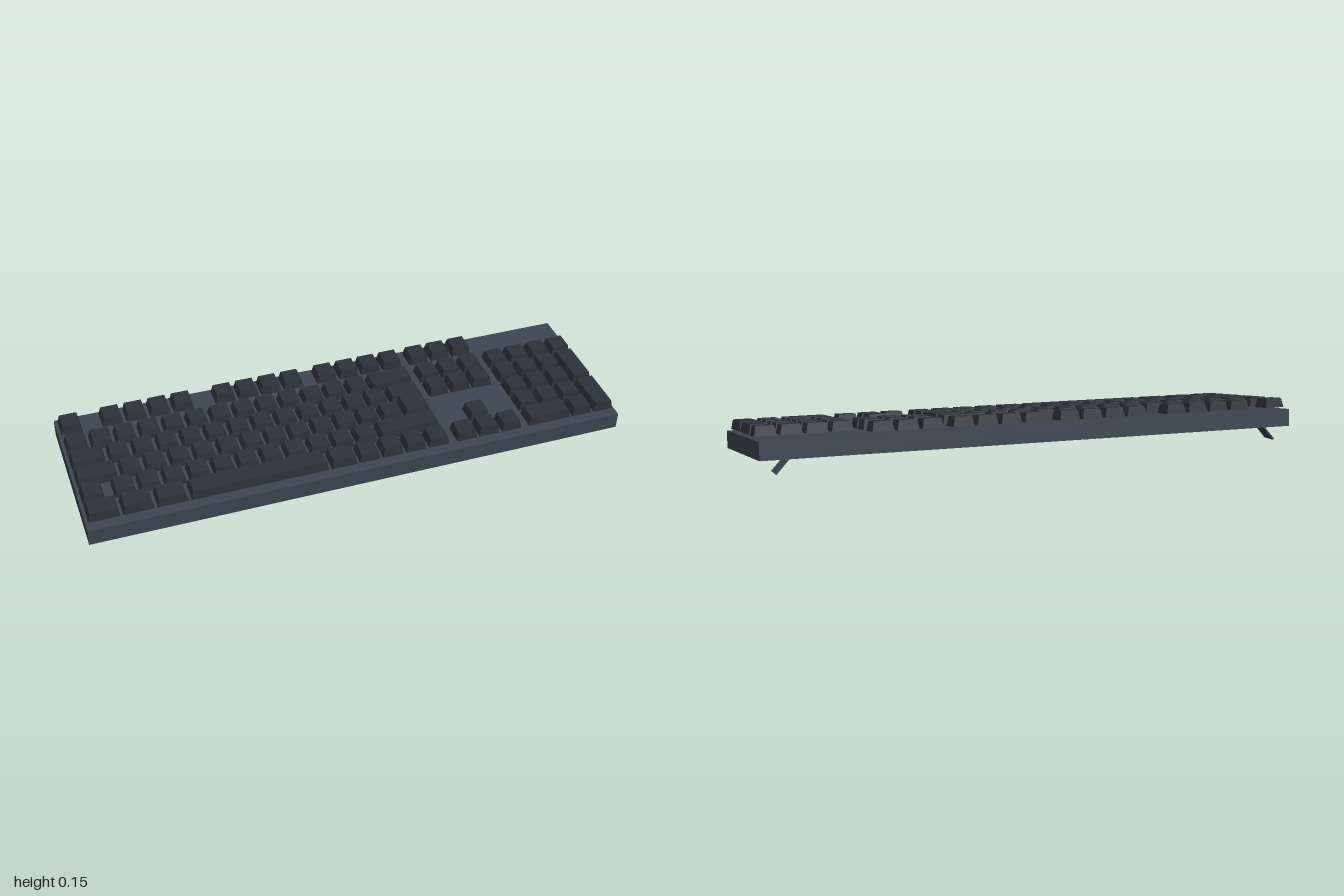
import * as THREE from 'three';

const U = 0.0864;             // one key unit
const X0 = -0.972;            // left end of the key field
const PLATE = 0.062;          // thickness of the case
const GAP = 0.0055;           // half the slit between two keys
const CAP_Y = PLATE + 0.007;  // caps hover just above the plate
const CAP_H = 0.034;
const ROW_Z = [-0.237, -0.127, -0.04, 0.046, 0.133, 0.219]; // rearmost row to space row

// Tapered keycap from an outline in (x, -z); every edge is drawn in at the top.
function capGeometry(points) {
  const shape = new THREE.Shape(points.map(([x, y]) => new THREE.Vector2(x, y)));
  const geo = new THREE.ExtrudeGeometry(shape, { depth: CAP_H, bevelEnabled: false });
  const right = Math.max(...points.map(p => p[0]));
  const back = Math.max(...points.map(p => p[1]));
  const pos = geo.attributes.position;
  for (let i = 0; i < pos.count; i++) {
    if (pos.getZ(i) < CAP_H / 2) continue;
    const x = pos.getX(i), y = pos.getY(i);
    pos.setX(i, x + (x > right - 1e-4 ? -0.007 : 0.007));
    pos.setY(i, y + (y > back - 1e-4 ? -0.006 : 0.005));
  }
  geo.rotateX(-Math.PI / 2);
  geo.computeVertexNormals();
  return geo;
}

export function createModel() {
  const caseMat = new THREE.MeshStandardMaterial({ color: 0x3c4550, flatShading: true });
  const keyMat = new THREE.MeshStandardMaterial({ color: 0x2b3239, flatShading: true });

  const model = new THREE.Group();
  model.name = 'keyboard';
  model.rotation.y = 0.09;

  // Case and keys lean forward together
  const tilted = new THREE.Group();
  tilted.name = 'tiltedBody';
  tilted.rotation.x = 0.0885;
  tilted.position.y = 0.0258;
  model.add(tilted);

  const body = new THREE.Mesh(new THREE.BoxGeometry(1.954, PLATE, 0.582), caseMat);
  body.name = 'case';
  body.position.set(0, PLATE / 2, -0.003);
  tilted.add(body);

  const keys = new THREE.Group();
  keys.name = 'keys';
  keys.position.y = CAP_Y;
  tilted.add(keys);

  const addCap = (name, geo, x, z) => {
    const cap = new THREE.Mesh(geo, keyMat);
    cap.name = name;
    cap.position.set(x, 0, z);
    keys.add(cap);
  };

  // Rectangular key: left edge and size in units, depth counted from its row forwards
  const cache = new Map();
  const key = (row, start, w = 1, d = 1, name = 'key') => {
    const id = w + 'x' + d;
    if (!cache.has(id)) {
      const a = w * U / 2 - GAP, b = d * U / 2 - GAP;
      cache.set(id, capGeometry([[-a, -b], [a, -b], [a, b], [-a, b]]));
    }
    addCap(name, cache.get(id), X0 + (start + w / 2) * U, ROW_Z[row] + (d - 1) * U / 2);
  };
  const run = (row, start, count, name) => {
    for (let i = 0; i < count; i++) key(row, start + i, 1, 1, name);
  };

  // Rearmost row
  key(0, 0, 1, 1, 'escapeKey');
  [1.7, 6.5, 11].forEach(s => run(0, s, 4, 'topRowKey'));
  run(0, 15.25, 3, 'systemKey');

  // Main block
  run(1, 0, 13, 'numberKey');
  key(1, 13, 2, 1, 'backspaceKey');
  key(2, 0, 1.5, 1, 'tabKey');
  run(2, 1.5, 12, 'letterKey');
  key(3, 0, 1.75, 1, 'capsKey');
  run(3, 1.75, 12, 'letterKey');
  key(4, 0, 1, 1, 'leftShiftKey');
  run(4, 1.25, 11, 'letterKey');
  key(4, 12.25, 2.75, 1, 'rightShiftKey');
  for (let i = 0; i < 3; i++) key(5, i * 1.35, 1.35, 1, 'modifierKey');
  key(5, 4.05, 5.75, 1, 'spaceBar');
  key(5, 9.8, 1.2, 1, 'modifierKey');
  run(5, 11, 4, 'modifierKey');

  // Two-row enter key with a step on its left
  const l = GAP, s = 0.25 * U + GAP, r = 1.5 * U - GAP;
  const top = U / 2 - GAP, mid = -U / 2 + GAP, low = -1.5 * U + GAP;
  addCap('enterKey', capGeometry([[l, top], [l, mid], [s, mid], [s, low], [r, low], [r, top]]),
    X0 + 13.5 * U, ROW_Z[2]);

  // Navigation block and arrows
  run(1, 15.25, 3, 'navigationKey');
  run(2, 15.25, 3, 'navigationKey');
  key(4, 16.25, 1, 1, 'arrowKey');
  run(5, 15.25, 3, 'arrowKey');

  // Number pad
  run(1, 18.5, 4, 'padKey');
  [2, 3, 4].forEach(row => run(row, 18.5, 3, 'padKey'));
  key(2, 21.5, 1, 2, 'padPlusKey');
  key(4, 21.5, 1, 2, 'padEnterKey');
  key(5, 18.5, 2, 1, 'padZeroKey');
  key(5, 20.5, 1, 1, 'padKey');

  // Rear flip-out feet, splayed outwards
  for (const side of [1, -1]) {
    const foot = new THREE.Mesh(new THREE.BoxGeometry(0.006, 0.07, 0.058), caseMat);
    foot.name = side > 0 ? 'leftFoot' : 'rightFoot';
    foot.position.set(side * 0.9, 0.028, -0.246);
    foot.rotation.z = side * 0.735;
    model.add(foot);
  }

  const root = new THREE.Group();
  root.add(model);
  return root;
}
